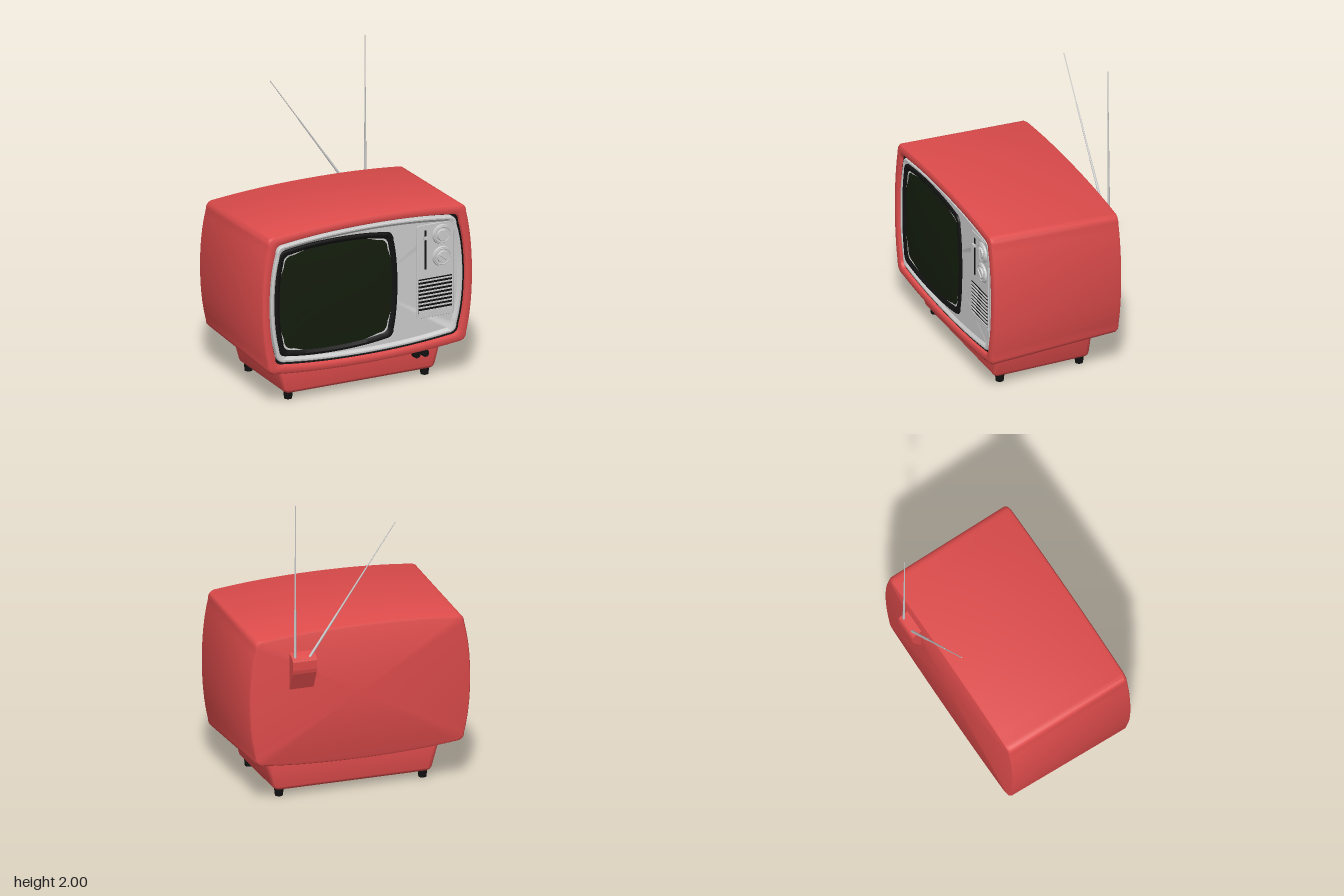
import * as THREE from 'three';
import { toCreasedNormals } from 'three/addons/utils/BufferGeometryUtils.js';
import { RoundedBoxGeometry } from 'three/addons/geometries/RoundedBoxGeometry.js';

const mat = (color) => new THREE.MeshStandardMaterial({ color });

// Bulging rounded-rectangle outline: half sizes w, h at mid-sides; corners pulled in by sx, sy
function cushion(w, h, sx, sy, r) {
  const cx = w - sx, cy = h - sy;
  const s = new THREE.Shape();
  s.moveTo(w, 0);
  s.quadraticCurveTo(w, cy * 0.5, cx, cy - r);
  s.quadraticCurveTo(cx, cy, cx - r, cy);
  s.quadraticCurveTo(cx * 0.5, h, 0, h);
  s.quadraticCurveTo(-cx * 0.5, h, -cx + r, cy);
  s.quadraticCurveTo(-cx, cy, -cx, cy - r);
  s.quadraticCurveTo(-w, cy * 0.5, -w, 0);
  s.quadraticCurveTo(-w, -cy * 0.5, -cx, -cy + r);
  s.quadraticCurveTo(-cx, -cy, -cx + r, -cy);
  s.quadraticCurveTo(-cx * 0.5, -h, 0, -h);
  s.quadraticCurveTo(cx * 0.5, -h, cx - r, -cy);
  s.quadraticCurveTo(cx, -cy, cx, -cy + r);
  s.quadraticCurveTo(w, -cy * 0.5, w, 0);
  const pts = s.getPoints(8);
  pts.pop();
  return pts;
}

// Skin cushion rings [z, inset, yScale]; an inset of null closes the skin at the centre
function loft(o, rings) {
  const pos = [], idx = [];
  let n = 0;
  for (const [z, inset, ys = 1] of rings) {
    const k = inset === null ? 0 : 1;
    const pts = cushion(o.w - (inset ?? 0), o.h - (inset ?? 0), o.sx, o.sy, o.r);
    n = pts.length;
    for (const p of pts) pos.push(o.x + p.x * k, o.y + p.y * k * ys, z);
  }
  for (let j = 0; j < rings.length - 1; j++) {
    for (let i = 0; i < n; i++) {
      const a = j * n + i, b = j * n + (i + 1) % n;
      if (rings[j][1] !== null) idx.push(a, b, b + n);
      if (rings[j + 1][1] !== null) idx.push(a, b + n, a + n);
    }
  }
  const g = new THREE.BufferGeometry();
  g.setAttribute('position', new THREE.Float32BufferAttribute(pos, 3));
  g.setIndex(idx);
  return toCreasedNormals(g, 0.6);
}

export function createModel() {
  const group = new THREE.Group();
  const red = mat(0xdd4b4b), grey = mat(0xcccccc), black = mat(0x111111), glass = mat(0x141d0d);
  const add = (name, geo, material, x = 0, y = 0, z = 0) => {
    const m = new THREE.Mesh(geo, material);
    m.name = name;
    m.position.set(x, y, z);
    group.add(m);
    return m;
  };
  const box = (w, h, d) => new THREE.BoxGeometry(w, h, d);
  const disc = (r0, r1, d) => new THREE.CylinderGeometry(r1, r0, d, 32).rotateX(Math.PI / 2);

  // Cabinet, slightly lower at the back, with a rolled front rim
  const shell = { x: 0, y: 0.69, w: 0.735, h: 0.49, sx: 0.04, sy: 0.033, r: 0.06 };
  add('cabinet', loft(shell, [
    [-0.412, null], [-0.412, 0.022, 0.92], [-0.406, 0.008, 0.92], [-0.39, 0, 0.921],
    [0.45, 0], [0.465, 0.007], [0.472, 0.02], [0.472, 0.043], [0.467, 0.052], [0.45, 0.056],
  ]), red);
  add('frontGap', loft(shell, [[0.452, 0.055], [0.42, 0.057], [0.42, 0.09]]), black);
  add('frontPanel', loft(shell, [
    [0.42, 0.069], [0.455, 0.069], [0.46, 0.074], [0.46, 0.083], [0.445, 0.1], [0.445, null],
  ]), grey);

  // Picture tube and its dark surround
  const tube = { x: -0.212, y: 0.692, w: 0.428, h: 0.378, sx: 0.026, sy: 0.024, r: 0.06 };
  add('screenSurround', loft(tube, [
    [0.443, 0], [0.457, 0.003], [0.461, 0.01], [0.461, 0.018], [0.448, 0.036],
  ]), black);
  add('screen', loft({ ...tube, sx: 0.04, sy: 0.04, r: 0.07 }, [
    [0.447, 0.028], [0.452, 0.09], [0.457, 0.18], [0.46, null],
  ]), glass);

  // Control plate
  const plate = new THREE.Shape();
  const px = 0.125, py = 0.307, pr = 0.015;
  plate.moveTo(-px + pr, -py);
  plate.absarc(px - pr, -py + pr, pr, -Math.PI / 2, 0);
  plate.absarc(px - pr, py - pr, pr, 0, Math.PI / 2);
  plate.absarc(-px + pr, py - pr, pr, Math.PI / 2, Math.PI);
  plate.absarc(-px + pr, -py + pr, pr, Math.PI, Math.PI * 1.5);
  add('controlPlate', new THREE.ExtrudeGeometry(plate, {
    depth: 0.004, bevelSize: 0.002, bevelThickness: 0.002, bevelSegments: 1,
  }), grey, 0.48, 0.738, 0.444);

  // Slider
  add('sliderSlot', box(0.013, 0.26, 0.004), black, 0.41, 0.88, 0.45);
  add('sliderHandle', box(0.028, 0.018, 0.016), grey, 0.41, 0.96, 0.457);

  // Two tuning knobs with stepped faces and pointers
  for (const [y, turn] of [[0.967, 0], [0.822, 0.9]]) {
    const knob = new THREE.Group();
    knob.name = 'knob';
    knob.position.set(0.525, y, 0.45);
    knob.rotation.z = turn;
    const part = (name, geo, px2, py2, z) => {
      const m = new THREE.Mesh(geo, grey);
      m.name = name;
      m.position.set(px2, py2, z);
      knob.add(m);
    };
    part('knobSkirt', disc(0.066, 0.062, 0.012), 0, 0, 0.006);
    part('knobRing', new THREE.TorusGeometry(0.052, 0.004, 6, 32), 0, 0, 0.012);
    part('knobCap', disc(0.04, 0.036, 0.012), 0, 0, 0.016);
    part('knobGrip', new RoundedBoxGeometry(0.014, 0.068, 0.014, 2, 0.004), 0, 0, 0.021);
    group.add(knob);
  }

  // Speaker grille
  add('speakerBack', box(0.232, 0.226, 0.004), black, 0.48, 0.576, 0.45);
  for (let i = 0; i < 9; i++) {
    add('speakerSlat', box(0.232, 0.009, 0.01), grey, 0.48, 0.476 + i * 0.025, 0.453);
  }
  add('speakerFoot', box(0.232, 0.022, 0.006), grey, 0.48, 0.458, 0.451);

  // Pedestal, flaring towards the top
  const base = new RoundedBoxGeometry(1.04, 0.27, 0.655, 4, 0.035);
  const p = base.attributes.position;
  for (let i = 0; i < p.count; i++) {
    p.setX(i, p.getX(i) * (1 + (p.getY(i) + 0.135) * 0.55));
  }
  base.computeVertexNormals();
  add('pedestal', toCreasedNormals(base, 0.7), red, 0, 0.18, 0.04);
  for (const x of [0.38, 0.44]) {
    add('pedestalButton', disc(0.025, 0.023, 0.04), black, x, 0.17, 0.38);
  }
  for (const x of [-0.475, 0.475]) {
    for (const z of [0.31, -0.235]) {
      add('foot', new THREE.CylinderGeometry(0.031, 0.025, 0.055, 20), black, x, 0.0275, z);
    }
  }

  // Antenna bracket on the back, profile drawn in (depth, height)
  const bracket = new THREE.Shape([
    [-0.02, 0.765], [0, 0.765], [0.06, 0.885], [0.066, 0.91], [0.066, 0.965],
    [0.058, 0.982], [0.035, 0.995], [0, 1.01], [-0.02, 1.01],
  ].map(([d, y]) => new THREE.Vector2(d, y)));
  const bracketGeo = new THREE.ExtrudeGeometry(bracket, { depth: 0.16, bevelEnabled: false });
  bracketGeo.rotateY(Math.PI / 2); // depth now runs along x, outline x along -z
  add('antennaBracket', bracketGeo, red, 0.31, 0, -0.412);

  // Telescopic rods in three thinning stages
  const rod = (from, to) => {
    const dir = to.clone().sub(from), len = dir.length() / 3;
    const antenna = new THREE.Group();
    antenna.name = 'antenna';
    [0.0085, 0.0058, 0.0035].forEach((r, i) => {
      const m = new THREE.Mesh(new THREE.CylinderGeometry(r * 0.8, r, len, 10), grey);
      m.name = 'antennaStage';
      m.position.y = len * (i + 0.5);
      antenna.add(m);
    });
    antenna.position.copy(from);
    antenna.quaternion.setFromUnitVectors(new THREE.Vector3(0, 1, 0), dir.normalize());
    group.add(antenna);
  };
  rod(new THREE.Vector3(0.447, 0.96, -0.452), new THREE.Vector3(0.443, 2, -0.449));
  rod(new THREE.Vector3(0.36, 0.97, -0.455), new THREE.Vector3(-0.215, 1.805, -0.453));

  return group;
}
